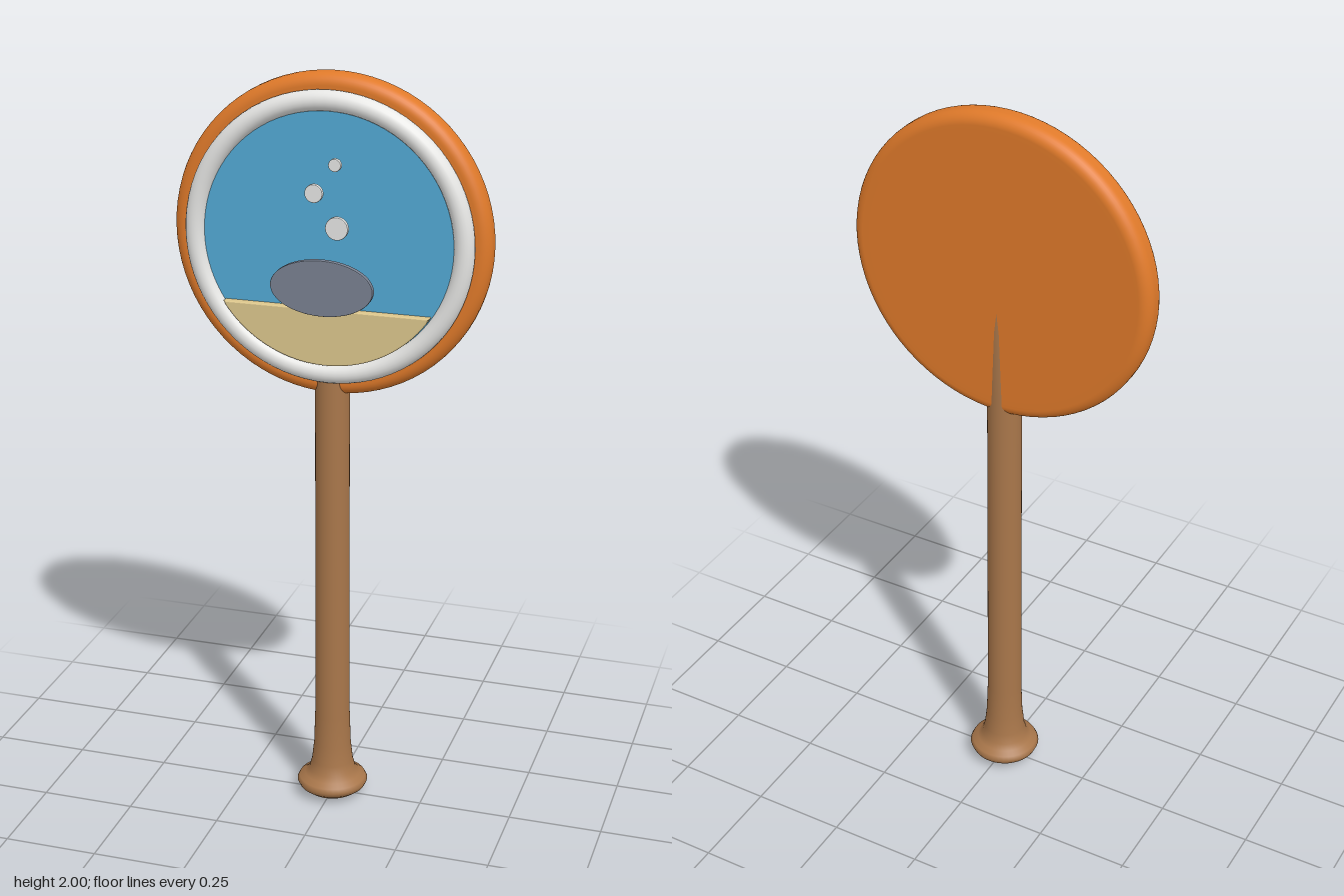
import * as THREE from 'three';

const mat = (name, color) => {
  const m = new THREE.MeshStandardMaterial({ color });
  m.name = name;
  return m;
};

export function createModel() {
  const orange = mat('orange', 0xe07a2a);
  const white = mat('white', 0xe6e6e4);
  const blue = mat('water blue', 0x52a9d4);
  const sand = mat('sand', 0xdcc68c);
  const grey = mat('slate grey', 0x788090);
  const wood = mat('wood', 0xa8764a);

  const group = new THREE.Group();
  const CY = 1.587; // centre height of the round head
  const add = (name, geo, material, x = 0, y = 0, z = 0) => {
    const m = new THREE.Mesh(geo, material);
    m.name = name;
    m.position.set(x, y, z);
    group.add(m);
    return m;
  };

  // Round head with a rolled rim, turned so that its axis points forward
  const R = 0.413, back = -0.042, front = 0.033, bevel = 0.03;
  const disc = [new THREE.Vector2(0, back), new THREE.Vector2(R - bevel - 0.02, back)];
  for (let i = 0; i <= 8; i++) {
    const a = -Math.PI / 2 + (i / 8) * Math.PI / 2;
    disc.push(new THREE.Vector2(R - bevel + bevel * Math.cos(a), back + bevel + bevel * Math.sin(a)));
  }
  for (let i = 0; i <= 8; i++) {
    const a = (i / 8) * Math.PI / 2;
    disc.push(new THREE.Vector2(R - bevel + bevel * Math.cos(a), front - bevel + bevel * Math.sin(a)));
  }
  disc.push(new THREE.Vector2(R - bevel - 0.02, front), new THREE.Vector2(0, front));
  add('head', new THREE.LatheGeometry(disc, 80).rotateX(Math.PI / 2), orange, 0, CY, 0);

  // White frame and the water inside it
  add('frameRing', new THREE.TorusGeometry(0.349, 0.026, 20, 80), white, 0, CY, 0.039);
  add('water', new THREE.CylinderGeometry(0.335, 0.335, 0.014, 64).rotateX(Math.PI / 2), blue, 0, CY, 0.038);

  // Sand bed: a circle segment below a level line
  const r = 0.318, half = Math.acos(0.177 / r);
  const bed = new THREE.Shape();
  bed.absarc(0, 0, r, -Math.PI / 2 - half, -Math.PI / 2 + half, false);
  bed.closePath();
  add('sandBed', new THREE.ExtrudeGeometry(bed, {
    depth: 0.02, curveSegments: 40, bevelEnabled: true, bevelSize: 0.004, bevelThickness: 0.004, bevelSegments: 3,
  }), sand, 0, CY, 0.043);

  // Stone and bubbles: thin plates in front of the water
  const plate = (name, x, y, rx, ry, depth, material) => {
    const s = new THREE.Shape();
    const b = 0.002;
    s.absellipse(0, 0, rx - b, ry - b, 0, Math.PI * 2, false);
    add(name, new THREE.ExtrudeGeometry(s, {
      depth: depth - 2 * b, curveSegments: 40, bevelEnabled: true, bevelSize: b, bevelThickness: b, bevelSegments: 2,
    }), material, x, y, 0.083 + b);
  };
  plate('stone', 0, 1.477, 0.133, 0.072, 0.016, grey);
  [[0.034, 1.79, 0.016], [-0.02, 1.716, 0.023], [0.039, 1.632, 0.029]].forEach(([x, y, br], i) =>
    plate('bubble' + (i + 1), x, y, br, br, 0.013, white));

  // Handle: flattened knob, flared foot and a shaft tapering into the head
  const profile = [
    [0, 0.004], [0.04, 0.007], [0.072, 0.017], [0.09, 0.031], [0.096, 0.044], [0.09, 0.055], [0.075, 0.064],
    [0.063, 0.078], [0.056, 0.105], [0.05, 0.16], [0.047, 0.25], [0.0455, 0.7], [0.0445, 1.2], [0.041, 1.58], [0, 1.58],
  ].map(([x, y]) => new THREE.Vector2(x, y));
  // The front half inside the head stays hidden behind the water
  const handle = new THREE.LatheGeometry(profile, 40);
  const p = handle.attributes.position;
  for (let i = 0; i < p.count; i++) {
    if (p.getY(i) > 1.3) p.setZ(i, Math.min(p.getZ(i), 0.02));
  }
  add('handle', handle, wood);

  return group;
}
